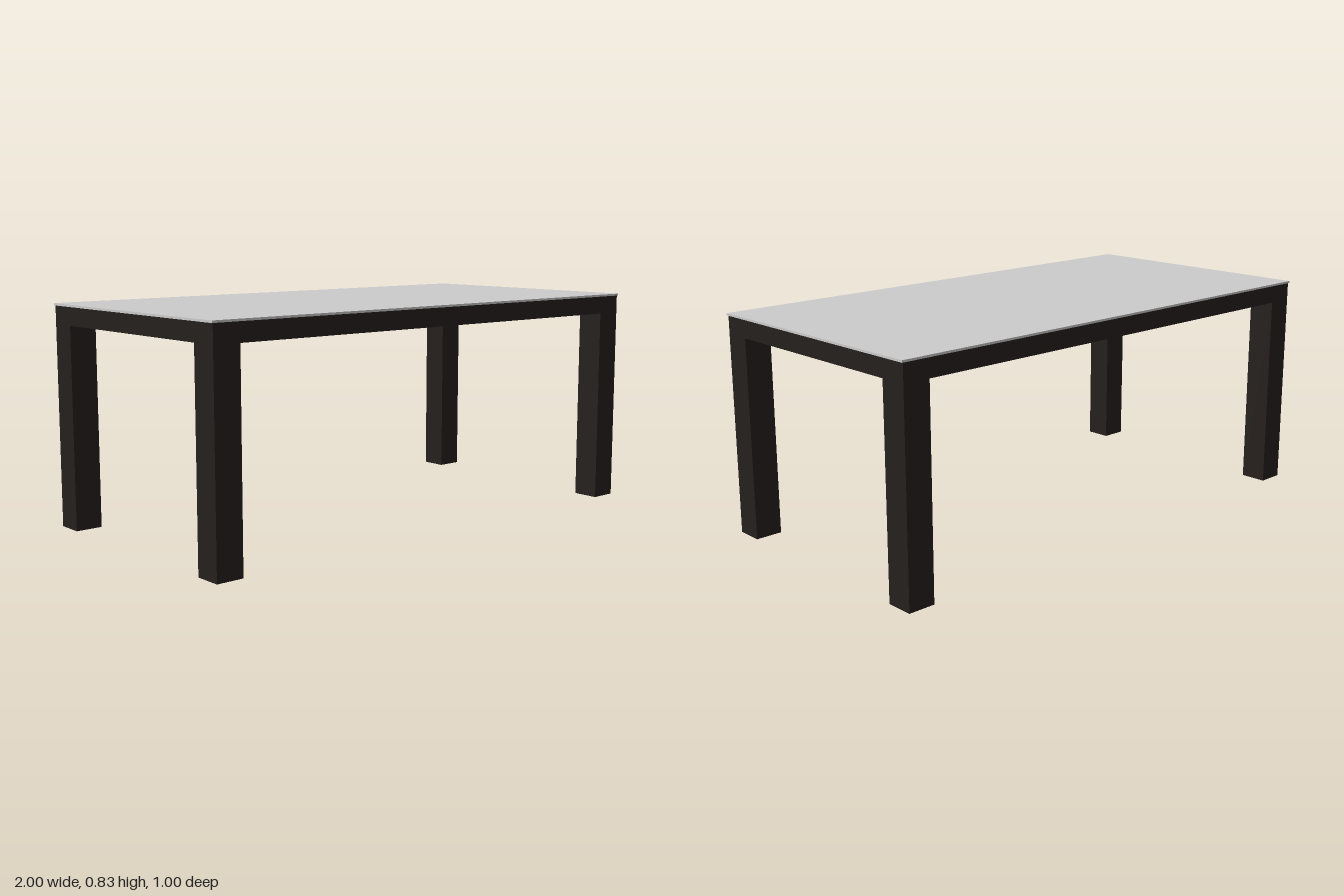
import * as THREE from 'three';

export function createModel() {
  const group = new THREE.Group();
  const wood = new THREE.MeshStandardMaterial({ color: 0x25201d });
  const grey = new THREE.MeshStandardMaterial({ color: 0xcccccc });

  // Box placed by its centre in x and z and by its bottom in y
  const addBox = (name, material, [w, h, d], [x, bottom, z]) => {
    const mesh = new THREE.Mesh(new THREE.BoxGeometry(w, h, d), material);
    mesh.name = name;
    mesh.position.set(x, bottom + h / 2, z);
    group.add(mesh);
  };

  const halfX = 0.995, halfZ = 0.497;   // outer faces of the frame
  const leg = 0.103, legHeight = 0.755;
  const frameTop = 0.823, top = 0.831;

  // Thin top sheet, slightly overhanging the frame
  addBox('tabletop', grey, [2, top - frameTop, 1], [0, frameTop, 0]);

  // Solid frame slab with a flat underside
  addBox('frame', wood, [halfX * 2, frameTop - legHeight, halfZ * 2], [0, legHeight, 0]);

  // Square legs flush with the frame corners
  for (const [sx, side] of [[1, 'Left'], [-1, 'Right']]) {
    for (const [sz, end] of [[1, 'front'], [-1, 'back']]) {
      addBox(`${end}${side}Leg`, wood, [leg, legHeight, leg],
        [sx * (halfX - leg / 2), 0, sz * (halfZ - leg / 2)]);
    }
  }
  return group;
}
